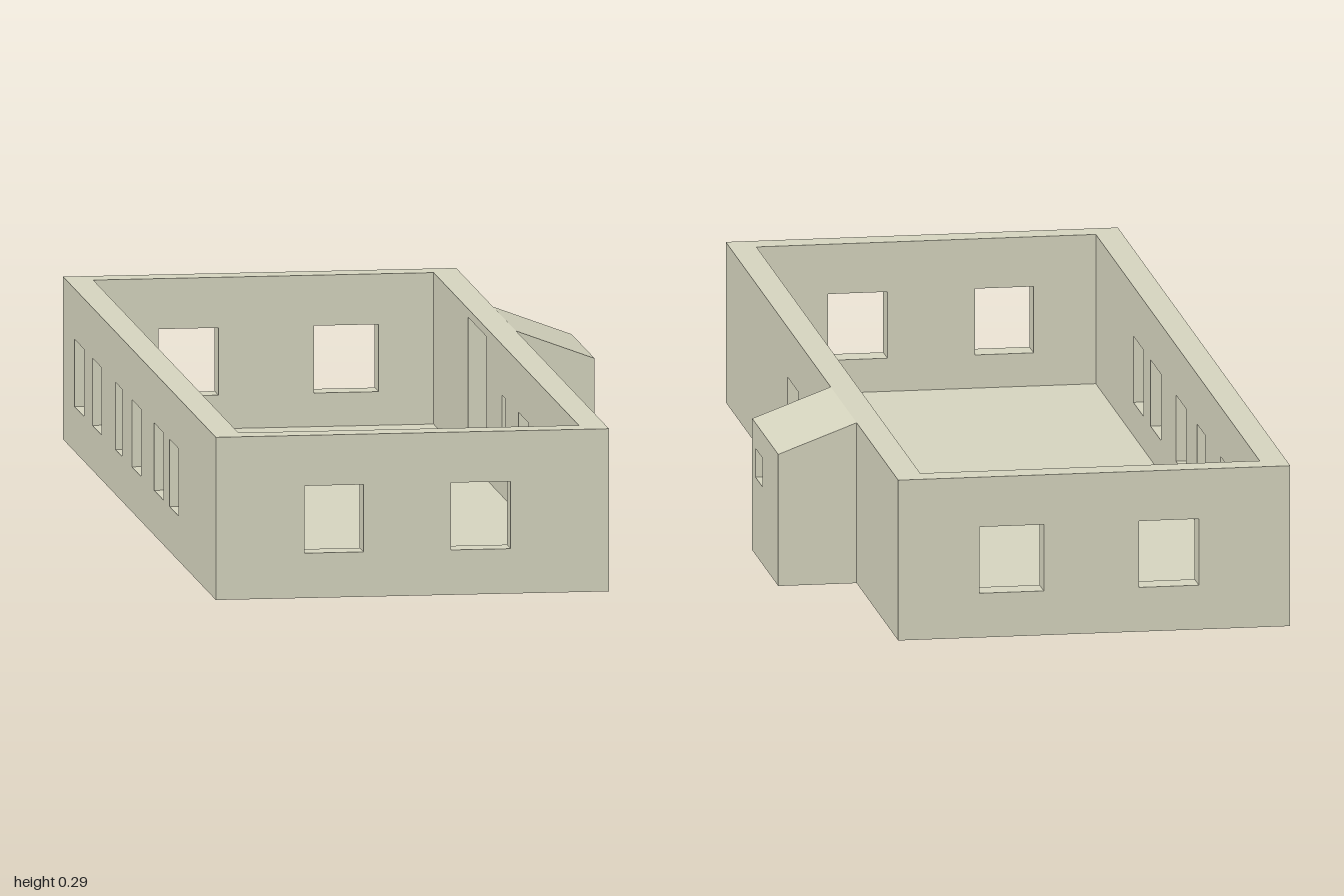
import * as THREE from 'three';

const material = new THREE.MeshStandardMaterial({ color: 0xd5d4be });

const L = 1.884, W = 0.70, H = 0.29;   // hall length, width, wall height
const T = 0.047;                        // wall thickness
const FLOOR = 0.02;
const HX = W / 2, HZ = L / 2;
// porch extents
const PX = 0.49, PZ0 = -0.488, PZ1 = -0.204, EAVE = 0.238;
const IN0 = PZ0 + 0.02, IN1 = PZ1 - 0.045; // porch interior ends

// Flat panel cut from an outline, with rectangular holes [u0, v0, u1, v1]
function panel(name, outline, holes, depth) {
  const shape = new THREE.Shape(outline.map(([u, v]) => new THREE.Vector2(u, v)));
  for (const [u0, v0, u1, v1] of holes) {
    shape.holes.push(new THREE.Path([
      new THREE.Vector2(u0, v0), new THREE.Vector2(u0, v1),
      new THREE.Vector2(u1, v1), new THREE.Vector2(u1, v0),
    ]));
  }
  const geometry = new THREE.ExtrudeGeometry(shape, { depth, bevelEnabled: false });
  const mesh = new THREE.Mesh(geometry, material);
  mesh.name = name;
  return mesh;
}

const rect = (u0, v0, u1, v1) => [[u0, v0], [u1, v0], [u1, v1], [u0, v1]];
const windows = (spans) => spans.map(([a, b]) => [a, 0.08, b, 0.2]);

// Panel running along z, with its outer face at x
function alongZ(mesh, x) {
  mesh.rotation.y = -Math.PI / 2;
  mesh.position.x = x;
  return mesh;
}

// Panel running along x, starting at z
function alongX(mesh, z) {
  mesh.position.z = z;
  return mesh;
}

export function createModel() {
  const model = new THREE.Group();
  model.name = 'building';
  const hall = new THREE.Group();
  hall.name = 'hall';
  hall.rotation.y = -THREE.MathUtils.degToRad(26);
  model.add(hall);

  // Long wall with six windows
  hall.add(alongZ(panel('windowWall', rect(-HZ, 0, HZ, H), windows([
    [-0.80, -0.686], [-0.579, -0.465], [-0.296, -0.213],
    [-0.093, 0.019], [0.183, 0.297], [0.372, 0.485],
  ]), T), -HX + T));

  // Long wall with the opening into the porch
  hall.add(alongZ(panel('entranceWall', [
    [-HZ, 0], [IN0, 0], [IN0, H - 0.015], [IN1, H - 0.015], [IN1, 0],
    [HZ, 0], [HZ, H], [-HZ, H],
  ], windows([[0.152, 0.269], [-0.053, -0.014]]), T), HX));

  // End walls between the long walls
  const end = rect(-HX + T, 0, HX - T, H);
  hall.add(alongX(panel('frontEndWall', end, windows([[-0.192, -0.087], [0.069, 0.175]]), T), HZ - T));
  hall.add(alongX(panel('backEndWall', end, windows([[-0.187, -0.08], [0.09, 0.205]]), T), -HZ));

  // Floor reaching into the porch, with a small square shaft
  const fx = HX - T, fz = HZ - T;
  const floor = panel('floor', [
    [-fx, -fz], [fx, -fz], [fx, IN0], [PX - 0.055, IN0], [PX - 0.055, IN1],
    [fx, IN1], [fx, fz], [-fx, fz],
  ], [[0.035, 0.046, 0.075, 0.09]], FLOOR);
  floor.rotation.x = Math.PI / 2;
  floor.position.y = FLOOR;
  hall.add(floor);

  // Porch: outer wall, two side walls and a sloping roof
  const porch = new THREE.Group();
  porch.name = 'porch';
  hall.add(porch);
  const under = 0.015;
  porch.add(alongZ(panel('porchFrontWall', rect(PZ0, 0, PZ1, EAVE - under),
    [[-0.317, 0.14, -0.239, 0.192]], 0.055), PX));
  const side = [[HX, 0], [PX - 0.055, 0], [PX - 0.055, EAVE - under + 0.02], [HX, H - under]];
  porch.add(alongX(panel('porchSideWall', side, [[0.373, 0.085, 0.402, 0.165]], PZ1 - IN1), IN1));
  porch.add(alongX(panel('porchBackWall', side, [], IN0 - PZ0), PZ0));
  porch.add(alongX(panel('porchRoof', [
    [HX, H - under], [PX - 0.055, EAVE - under + 0.02], [PX - 0.055, EAVE - under],
    [PX, EAVE - under], [PX, EAVE], [HX, H],
  ], [], PZ1 - PZ0), PZ0));

  return model;
}
